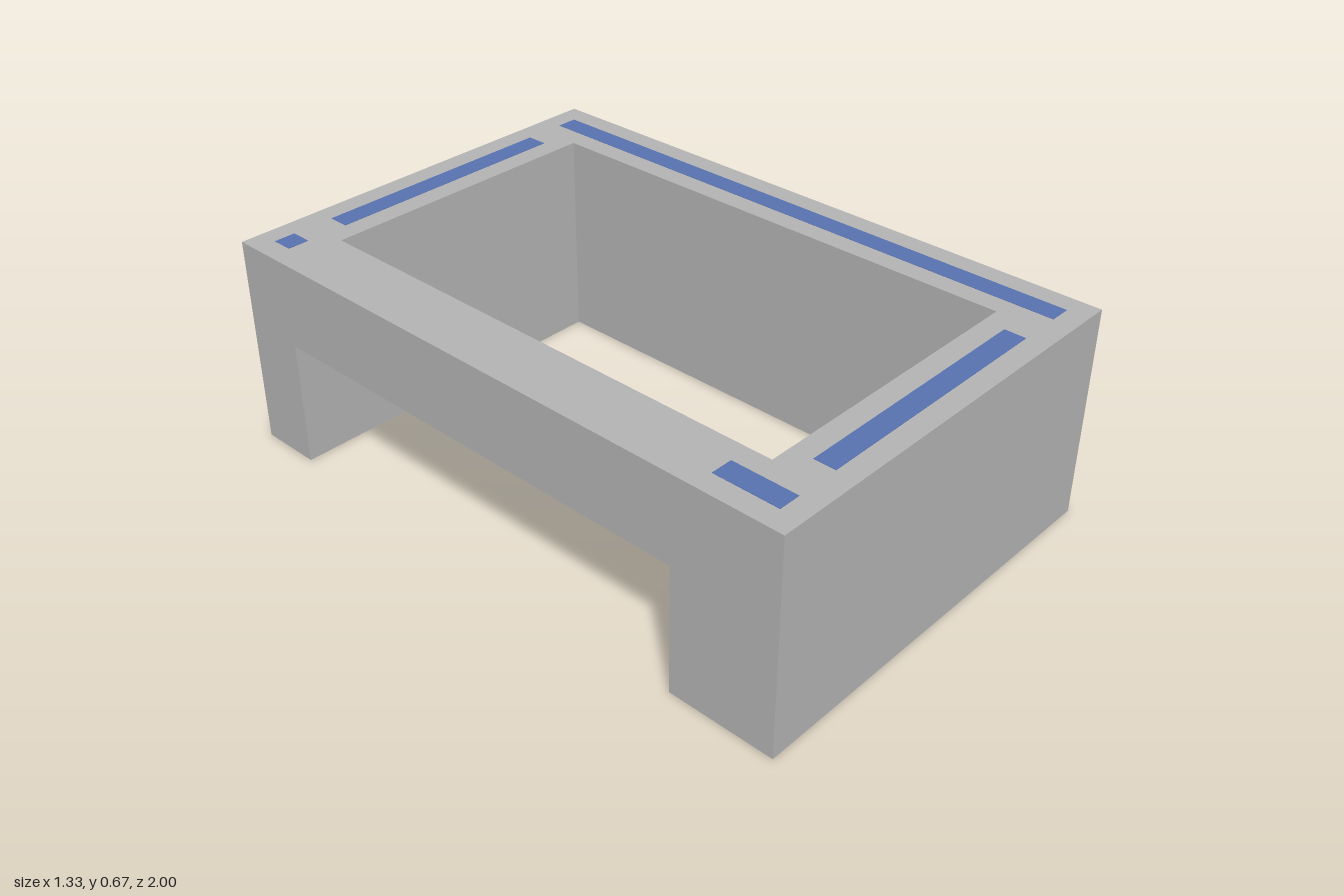
import * as THREE from 'three';

const W = 2 / 3, H = 2 / 3, L = 1; // half width, height, half length
const T = 0.2;                     // wall thickness

export function createModel() {
  const model = new THREE.Group();
  model.name = 'openFrame';

  const gray = new THREE.MeshStandardMaterial({ color: 0xb3b3b3 });
  gray.name = 'gray';
  const blue = new THREE.MeshStandardMaterial({ color: 0x5872b0 });
  blue.name = 'blue';

  // Box spanning the given ranges
  function box(name, material, x0, x1, y0, y1, z0, z1) {
    const mesh = new THREE.Mesh(new THREE.BoxGeometry(x1 - x0, y1 - y0, z1 - z0), material);
    mesh.position.set((x0 + x1) / 2, (y0 + y1) / 2, (z0 + z1) / 2);
    mesh.name = name;
    model.add(mesh);
  }

  // Full-height walls: a C-shaped plan with a longer return at the front (points are x, z)
  const postZ = 2 / 3;
  const plan = [
    [-W, L], [W, L], [W, -L], [-W, -L], [-W, -L + T],
    [W - T, -L + T], [W - T, L - T], [-W + T, L - T], [-W + T, postZ], [-W, postZ],
  ];
  const shape = new THREE.Shape(plan.map(([x, z]) => new THREE.Vector2(x, -z)));
  const wallGeometry = new THREE.ExtrudeGeometry(shape, { depth: H, bevelEnabled: false });
  wallGeometry.rotateX(-Math.PI / 2);
  const walls = new THREE.Mesh(wallGeometry, gray);
  walls.name = 'walls';
  model.add(walls);

  // Beam over the wide opening in the -x side
  box('header', gray, -W, -W + T, 0.4, H, -L + T, postZ);

  // Inlaid strips on the top and bottom faces: x0, x1, z0, z1
  const strips = {
    sideStrip: [0.533, 0.6, -0.933, 0.933],
    frontStrip: [-0.4, 0.4, 0.867, 0.933],
    backStrip: [-0.4, 0.4, -0.933, -0.867],
    frontPostStrip: [-0.6, -0.533, 0.733, 0.933],
    backPostStrip: [-0.6, -0.533, -0.933, -0.867],
  };
  for (const [name, [x0, x1, z0, z1]] of Object.entries(strips)) {
    box(name + 'Top', blue, x0, x1, H - 0.002, H + 0.001, z0, z1);
    box(name + 'Bottom', blue, x0, x1, -0.001, 0.002, z0, z1);
  }

  return model;
}
